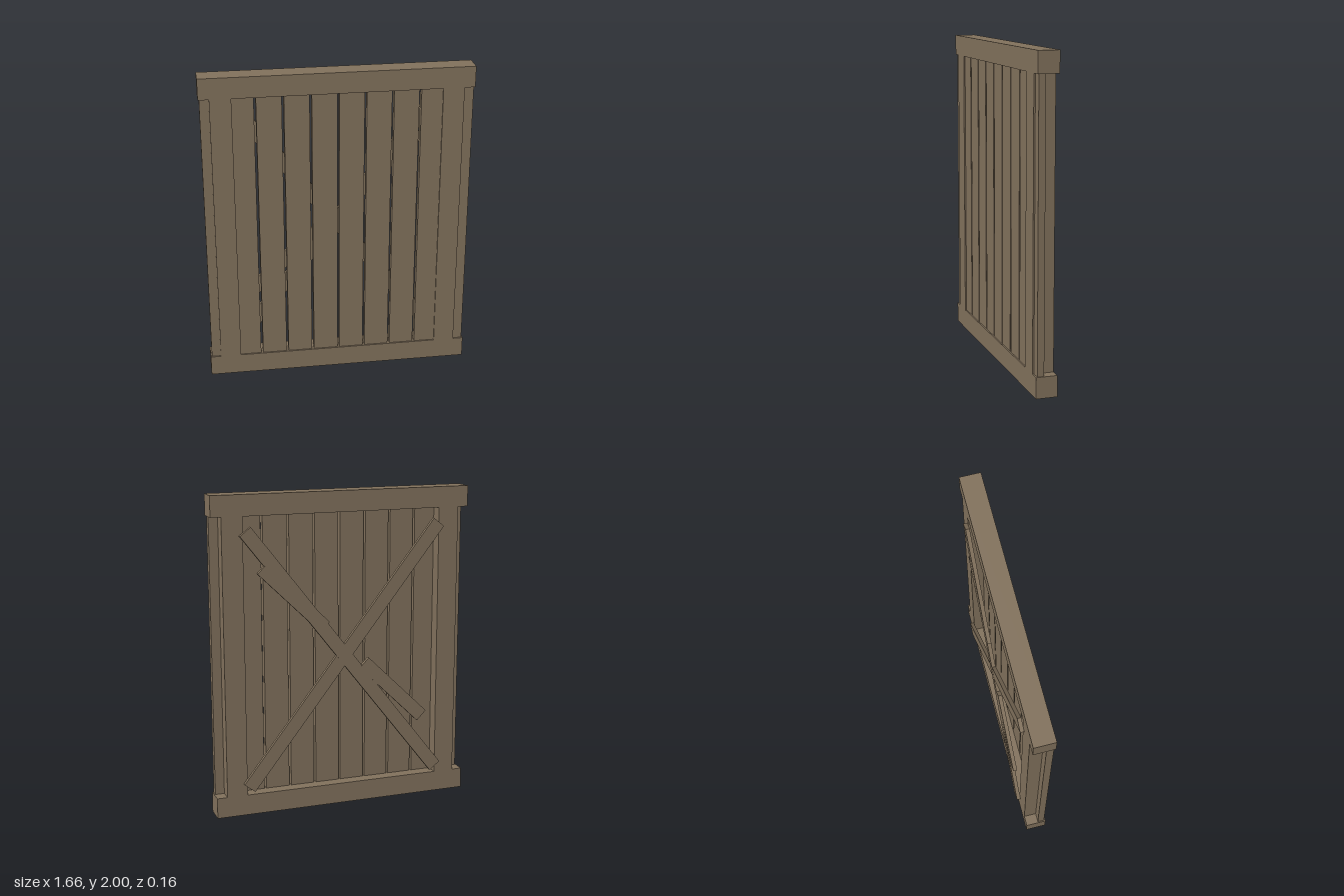
import * as THREE from 'three';

export function createModel() {
  const gate = new THREE.Group();
  gate.name = 'woodenGate';
  const wood = new THREE.MeshStandardMaterial({ color: 0x80705b });
  wood.name = 'weathered wood';

  // Box given by its low and high limits on each axis
  const board = (name, x0, x1, y0, y1, z0, z1) => {
    const mesh = new THREE.Mesh(new THREE.BoxGeometry(x1 - x0, y1 - y0, z1 - z0), wood);
    mesh.name = name;
    mesh.position.set((x0 + x1) / 2, (y0 + y1) / 2, (z0 + z1) / 2);
    gate.add(mesh);
    return mesh;
  };

  const back = -0.053, front = 0.077, rail = 0.13;

  // Frame: two rails and two stiles
  board('bottomRail', -0.83, 0.83, 0, rail, back, front);
  board('topRail', -0.83, 0.83, 2 - rail, 2, back, front);
  board('rightStile', -0.765, -0.635, rail, 2 - rail, back, front);
  board('leftStile', 0.635, 0.765, rail, 2 - rail, back, front);

  // Vertical planks, the outermost ones showing beyond the stiles
  const count = 10, pitch = 0.1658, width = 0.153;
  for (let i = 0; i < count; i++) {
    const x = (i - (count - 1) / 2) * pitch;
    board('plank' + (i + 1), x - width / 2, x + width / 2, rail - 0.01, 2 - rail + 0.01, 0.026, 0.068);
  }

  // Diagonal braces on the back, laid between two centre-line points
  const brace = (name, x0, y0, x1, y1, depth) => {
    const half = Math.hypot(x1 - x0, y1 - y0) / 2;
    const mesh = board(name, -half, half, -0.043, 0.043, back - depth, back);
    mesh.position.x = (x0 + x1) / 2;
    mesh.position.y = (y0 + y1) / 2;
    mesh.rotation.z = Math.atan2(y1 - y0, x1 - x0);
  };
  brace('fallingBrace', -0.626, 1.782, 0.626, 0.18, 0.0235);
  brace('risingBrace', -0.626, 0.18, 0.626, 1.782, 0.0245);

  // Short splints beside the rising brace
  brace('lowerSplint', -0.525, 0.535, -0.13, 0.92, 0.025);
  brace('upperSplint', 0.13, 1.17, 0.525, 1.555, 0.025);

  return gate;
}
